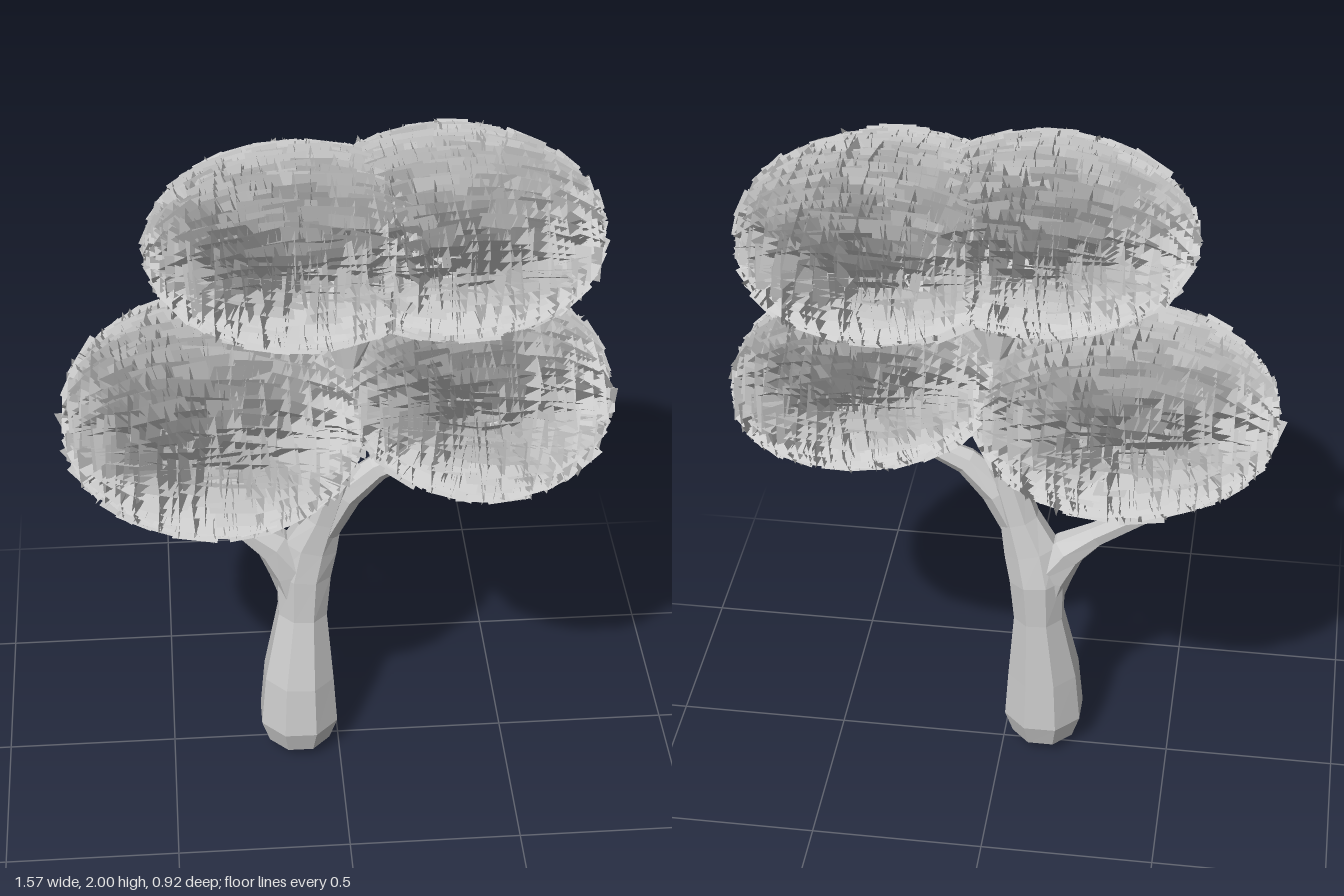
import * as THREE from 'three';

const bark = new THREE.MeshStandardMaterial({ color: 0xcccccc, flatShading: true, side: THREE.DoubleSide });
const leaf = new THREE.MeshStandardMaterial({ color: 0xcccccc, flatShading: true, side: THREE.DoubleSide });

function seeded(seed) {
  let s = seed;
  return () => {
    s = (s * 16807) % 2147483647;
    return s / 2147483647;
  };
}

// Faceted limb through sections [x, y, z, radius across, radius in depth]
function limb(name, sections, sides = 8) {
  const pos = [], index = [];
  sections.forEach(([x, y, z, ru, rz], i) => {
    const a = sections[Math.max(i - 1, 0)], b = sections[Math.min(i + 1, sections.length - 1)];
    const len = Math.hypot(b[0] - a[0], b[1] - a[1]);
    const tx = (b[0] - a[0]) / len, ty = (b[1] - a[1]) / len;
    for (let j = 0; j < sides; j++) {
      const t = ((j + 0.5) / sides) * Math.PI * 2, c = Math.cos(t) * ru;
      pos.push(x + ty * c, y - tx * c, z + Math.sin(t) * (rz ?? ru));
      if (i < sections.length - 1) {
        const k = i * sides + j, n = i * sides + ((j + 1) % sides);
        index.push(k, k + sides, n, n, k + sides, n + sides);
      }
    }
  });
  const geo = new THREE.BufferGeometry();
  geo.setAttribute('position', new THREE.Float32BufferAttribute(pos, 3));
  geo.setIndex(index);
  geo.computeVertexNormals();
  const mesh = new THREE.Mesh(geo, bark);
  mesh.name = name;
  return mesh;
}

// Hollow leaf cushion: crossed cards standing on a flattened ellipsoid
function foliage({ name, center, radii, down, tilt = 0, roll = 0, seed }) {
  const rand = seeded(seed), jitter = (a) => (rand() - 0.5) * 2 * a;
  const pos = [], count = 620, inset = 0.04;
  const [rx, up, rz] = radii.map((r) => r - inset);
  const X = new THREE.Vector3(1, 0, 0);
  for (let i = 0; i < count; i++) {
    const ny = 1 - (2 * (i + 0.5)) / count;
    const ring = Math.sqrt(1 - ny * ny), a = i * 2.399963 + jitter(0.08);
    const dx = Math.cos(a) * ring, dz = Math.sin(a) * ring;
    const ry = ny > 0 ? up : down - inset;
    const h = ny > 0 ? Math.pow(ny, 0.92) : -Math.pow(-ny, 0.75);
    const p = new THREE.Vector3(dx * rx, h * ry, dz * rz);
    const n = new THREE.Vector3(dx / rx, ny / ry, dz / rz).normalize();
    p.addScaledVector(n, jitter(0.006));
    const u = new THREE.Vector3().crossVectors(n, X).normalize();
    const v = new THREE.Vector3().crossVectors(n, u);
    n.addScaledVector(u, jitter(0.22)).addScaledVector(v, jitter(0.22)).normalize();
    for (const [along, side] of [[u, v], [v, u]]) {
      const w = along.clone().addScaledVector(side, jitter(0.15)).normalize().multiplyScalar(0.052 + jitter(0.012));
      const t = n.clone().multiplyScalar(0.04 + jitter(0.008));
      const corner = (s, q) => p.clone().addScaledVector(w, s).addScaledVector(t, q).toArray();
      const A = corner(-1, -1), B = corner(1, -1), C = corner(1, 1), D = corner(-1, 1);
      pos.push(...A, ...B, ...C, ...A, ...C, ...D);
    }
  }
  const geo = new THREE.BufferGeometry();
  geo.setAttribute('position', new THREE.Float32BufferAttribute(pos, 3));
  geo.computeVertexNormals();
  const mesh = new THREE.Mesh(geo, leaf);
  mesh.name = name;
  mesh.position.set(...center);
  mesh.rotation.set(tilt, 0, roll);
  return mesh;
}

export function createModel() {
  const tree = new THREE.Group();
  tree.name = 'tree';

  // Trunk with a swollen foot, rising to a flattened flare under the crown
  tree.add(limb('trunk', [
    [-0.12, 0.01, 0.025, 0.001],
    [-0.12, 0.045, 0.025, 0.098],
    [-0.12, 0.12, 0.025, 0.123],
    [-0.118, 0.28, 0.02, 0.11],
    [-0.105, 0.5, 0.0, 0.077],
    [-0.1, 0.64, -0.005, 0.085, 0.076],
    [-0.08, 0.74, 0.0, 0.084, 0.062],
    [-0.045, 0.84, 0.008, 0.06, 0.053],
    [-0.01, 0.96, 0.015, 0.055, 0.05],
    [0.0, 1.1, 0.025, 0.05],
    [0.015, 1.25, 0.027, 0.038],
    [0.025, 1.38, 0.027, 0.035],
    [0.025, 1.48, 0.027, 0.075, 0.04],
    [0.025, 1.6, 0.027, 0.135, 0.045],
    [0.025, 1.66, 0.027, 0.15, 0.03],
  ]));

  // Side branches
  tree.add(limb('leftwardBranch', [
    [-0.1, 0.52, 0.0, 0.06],
    [-0.13, 0.66, 0.0, 0.075, 0.065],
    [-0.19, 0.745, 0.0, 0.055],
    [-0.27, 0.805, 0.0, 0.036],
    [-0.42, 0.9, 0.0, 0.03],
    [-0.6, 1.01, 0.0, 0.023],
    [-0.66, 1.05, 0.0, 0.001],
  ], 7));
  tree.add(limb('rightwardBranch', [
    [-0.05, 0.78, 0.01, 0.045],
    [0.02, 0.93, 0.015, 0.052],
    [0.11, 1.015, 0.02, 0.04],
    [0.26, 1.085, 0.02, 0.028],
    [0.42, 1.13, 0.02, 0.02],
    [0.48, 1.16, 0.02, 0.001],
  ], 7));

  // Leaf cushions: two merged on top, one on each side below
  const cushions = [
    { name: 'upperFoliageA', center: [-0.105, 1.765, 0.035], radii: [0.41, 0.23, 0.39], down: 0.195 },
    { name: 'upperFoliageB', center: [0.31, 1.765, -0.02], radii: [0.41, 0.222, 0.425], down: 0.195 },
    { name: 'lowerFoliageA', center: [-0.345, 1.215, 0.02], radii: [0.425, 0.275, 0.43], down: 0.205, tilt: 0.1, roll: -0.03 },
    { name: 'lowerFoliageB', center: [0.39, 1.265, 0.015], radii: [0.375, 0.265, 0.385], down: 0.18, tilt: 0.15, roll: -0.06 },
  ];
  cushions.forEach((c, i) => tree.add(foliage({ ...c, seed: 101 + i * 77 })));
  return tree;
}
